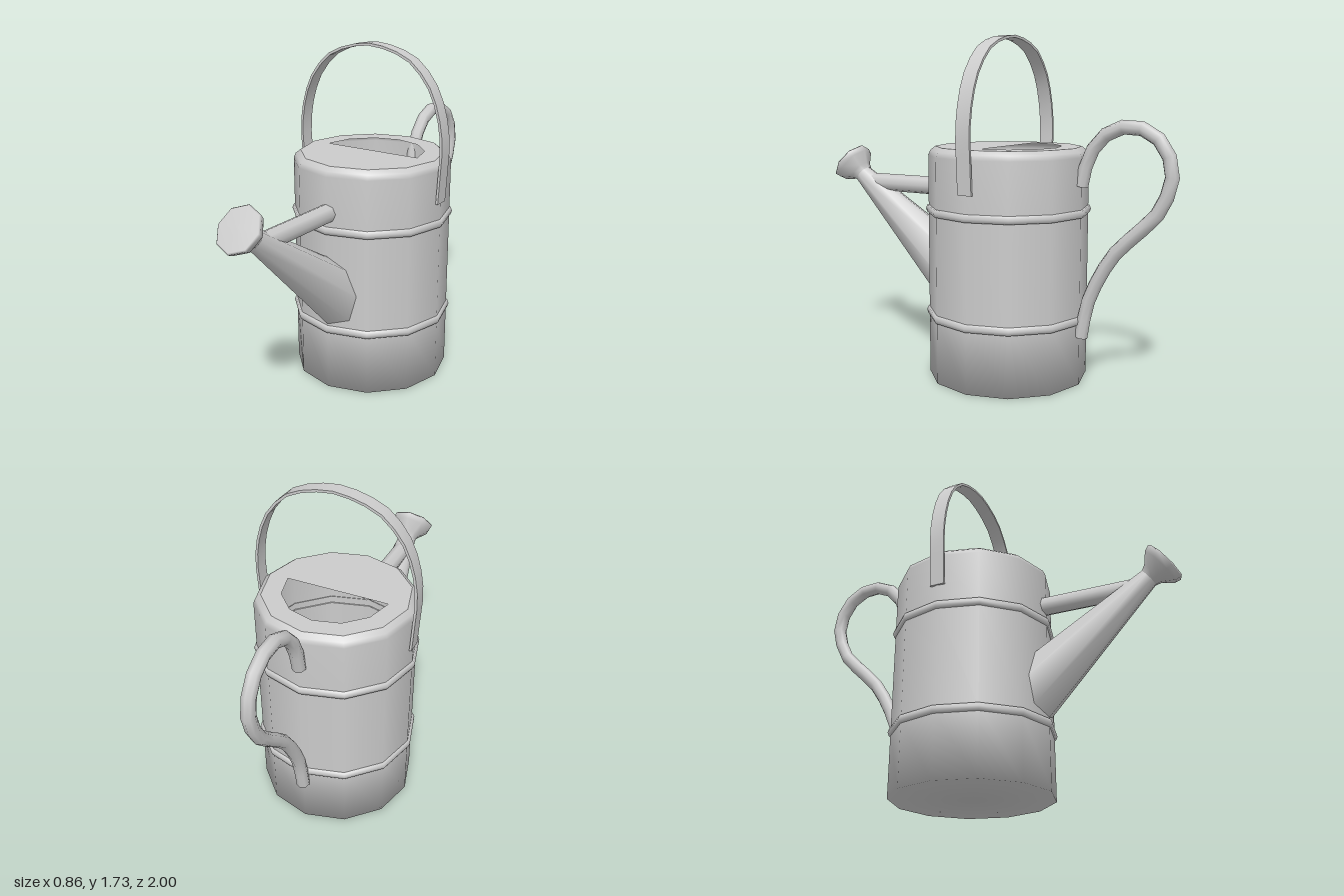
import * as THREE from 'three';
import { toCreasedNormals } from 'three/addons/utils/BufferGeometryUtils.js';

const material = new THREE.MeshStandardMaterial({ color: 0xcccccc, side: THREE.DoubleSide });
const V2 = (p) => new THREE.Vector2(p[0], p[1]);

function add(parent, name, geometry) {
  const mesh = new THREE.Mesh(geometry, material);
  mesh.name = name;
  parent.add(mesh);
  return mesh;
}

// Smooth turned part from [radius, height] points
const turned = (points, sides) => new THREE.LatheGeometry(points.map(V2), sides);

// Corners of a regular twelve-sided outline, from step a to step b
function ring(radius, a, b) {
  const pts = [];
  for (let i = a; i <= b; i++) {
    const t = (i * Math.PI) / 6;
    pts.push(new THREE.Vector2(radius * Math.cos(t), radius * Math.sin(t)));
  }
  return pts;
}

export function createModel() {
  const model = new THREE.Group();
  model.name = 'wateringCan';

  // Twelve-sided can with a flat bottom, shaded smoothly round the rims
  const can = new THREE.Group();
  can.name = 'can';
  can.position.z = -0.107;
  model.add(can);
  add(can, 'body', turned([[0, 0], [0.407, 0], [0.407, 0.33], [0.407, 0.862],
    [0.407, 1.135], [0.396, 1.16], [0.37, 1.18]], 12));

  // Top plate, open over its back half
  const plate = new THREE.Shape(ring(0.37, 0, 11));
  plate.holes.push(new THREE.Path(ring(0.27, 0, 6)));
  const top = add(can, 'topPlate', new THREE.ShapeGeometry(plate));
  top.rotation.x = -Math.PI / 2;
  top.position.y = 1.18;

  // Raised hoops around the can
  for (const y of [0.33, 0.862]) {
    const hoop = add(can, 'hoop', turned(
      [[0.402, -0.021], [0.415, -0.018], [0.421, 0], [0.415, 0.018], [0.402, 0.021]], 12));
    hoop.position.y = y;
  }

  // Spout and rose share one sloping axis
  const spoutGroup = new THREE.Group();
  spoutGroup.name = 'spoutAssembly';
  spoutGroup.position.set(0, 1.055, 0.92);
  spoutGroup.rotation.x = 0.9;
  model.add(spoutGroup);
  add(spoutGroup, 'spout', turned([[0.16, -0.918], [0.05, -0.1]], 8));
  add(spoutGroup, 'rose', turned(
    [[0.05, -0.11], [0.062, -0.08], [0.11, -0.03], [0.119, 0], [0.112, 0.008], [0, 0.01]], 8));

  // Strut between the can and the spout
  const strut = add(model, 'strut', new THREE.CylinderGeometry(0.048, 0.048, 0.5, 8));
  strut.rotation.x = Math.PI / 2;
  strut.position.set(0, 0.95, 0.51);

  // Carrying handle: flat strip bent over the top
  const half = [[0.413, 0.97], [0.422, 1.12], [0.428, 1.25], [0.413, 1.38], [0.36, 1.53],
    [0.265, 1.645], [0.165, 1.699], [0, 1.73]];
  const arch = new THREE.SplineCurve(
    [...half, ...half.slice(0, -1).reverse().map(([x, y]) => [-x, y])].map(V2));
  const outer = arch.getSpacedPoints(24);
  const inner = outer.map(({ x, y }) => V2([x * 0.97, y - Math.max(0, y - 1.25) * 0.027]));
  const strip = new THREE.Shape([...outer, ...inner.reverse()]);
  const bail = add(model, 'carryingHandle', toCreasedNormals(
    new THREE.ExtrudeGeometry(strip, { depth: 0.076, bevelEnabled: false }), 0.7));
  bail.position.z = -0.144;

  // Back handle: bent rod as [z, y] points
  const path = new THREE.CatmullRomCurve3([[-0.515, 1.0], [-0.543, 1.12], [-0.6, 1.22],
    [-0.68, 1.276], [-0.77, 1.293], [-0.87, 1.26], [-0.94, 1.18], [-0.966, 1.06],
    [-0.9, 0.89], [-0.8, 0.79], [-0.69, 0.68], [-0.6, 0.53], [-0.555, 0.42],
    [-0.523, 0.25]].map(([z, y]) => new THREE.Vector3(0, y, z)));
  const backHandle = new THREE.Group();
  backHandle.name = 'backHandle';
  model.add(backHandle);
  add(backHandle, 'rod', new THREE.TubeGeometry(path, 18, 0.035, 8));
  for (const t of [0, 1]) {
    const cap = add(backHandle, 'rodEnd', new THREE.CircleGeometry(0.035, 8));
    const end = path.getPointAt(t);
    cap.position.copy(end);
    cap.lookAt(end.clone().addScaledVector(path.getTangentAt(t), t ? 1 : -1));
  }

  return model;
}
